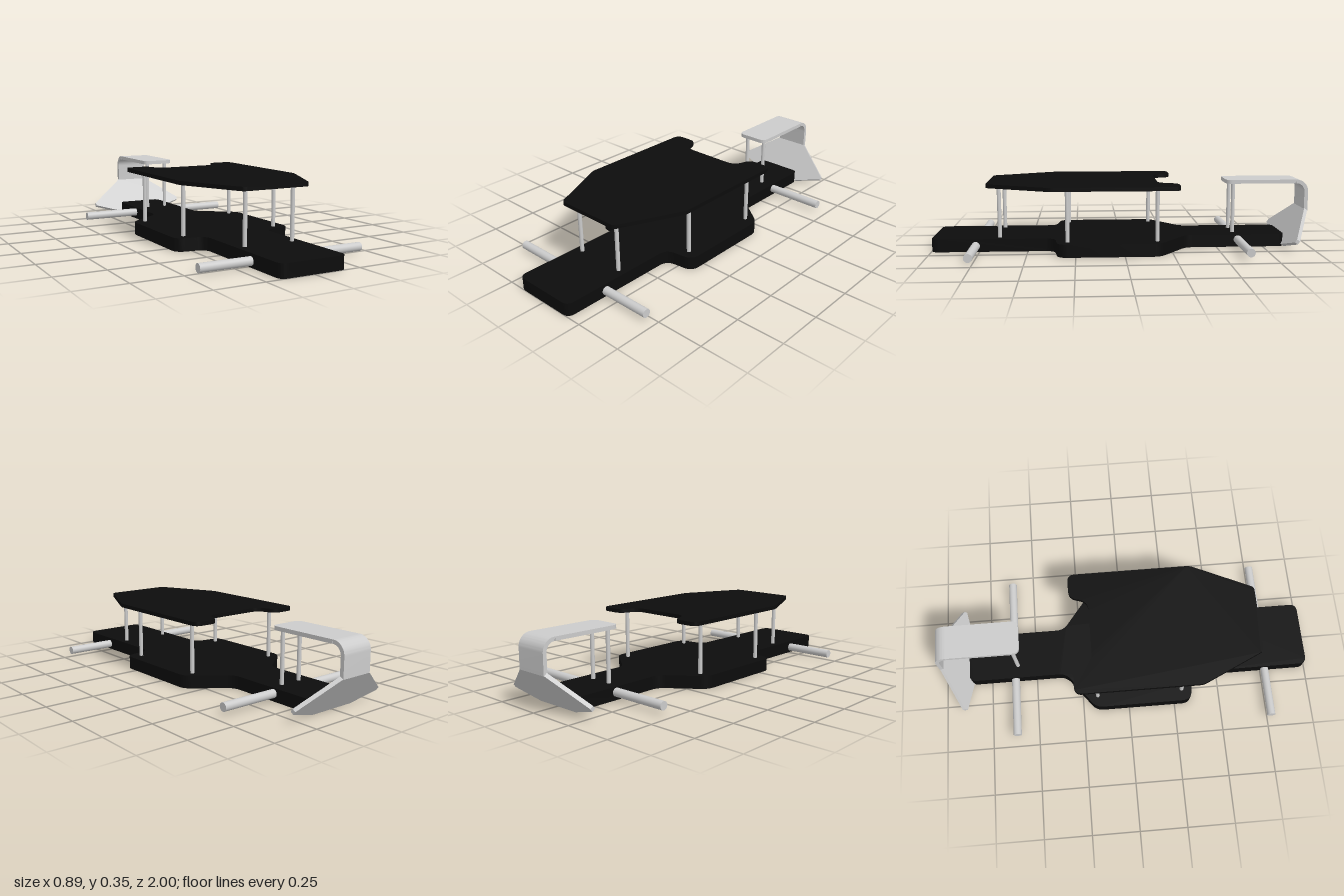
import * as THREE from 'three';
import { toCreasedNormals } from 'three/addons/utils/BufferGeometryUtils.js';

const black = new THREE.MeshStandardMaterial({ color: 0x0c0c0c });
const grey = new THREE.MeshStandardMaterial({ color: 0xcccccc });

// Closed outline from [x, y, cornerRadius] points
function roundedShape(points) {
  const shape = new THREE.Shape();
  const n = points.length;
  points.forEach(([x, y, r = 0], i) => {
    const p = new THREE.Vector2(x, y);
    const toward = ([qx, qy]) => {
      const d = new THREE.Vector2(qx, qy).sub(p);
      return p.clone().addScaledVector(d.normalize(), r);
    };
    const a = toward(points[(i + n - 1) % n]);
    const b = toward(points[(i + 1) % n]);
    if (i === 0) shape.moveTo(a.x, a.y);
    else shape.lineTo(a.x, a.y);
    if (r > 0) shape.quadraticCurveTo(x, y, b.x, b.y);
  });
  shape.closePath();
  return shape;
}

// Completes a half outline (x > 0) with its mirror image
const mirrored = (half) => [...half, ...half.map(([x, y, r]) => [-x, y, r]).reverse()];

function extrude(shape, depth) {
  const g = new THREE.ExtrudeGeometry(shape, { depth, bevelEnabled: false, curveSegments: 8 });
  return toCreasedNormals(g, 0.6);
}

// Horizontal plate from a half outline of [x, z, cornerRadius]
function plate(half, y, thickness) {
  const pts = mirrored(half.map(([x, z, r]) => [x, -z, r]));
  return extrude(roundedShape(pts), thickness).rotateX(-Math.PI / 2).translate(0, y, 0);
}

export function createModel() {
  const model = new THREE.Group();
  const add = (name, geometry, material) => {
    const mesh = new THREE.Mesh(geometry, material);
    mesh.name = name;
    model.add(mesh);
    return mesh;
  };

  // Thick base plate with wide middle
  add('chassisPlate', plate([
    [0.177, 1, 0.04], [0.177, 0.36, 0.05], [0.333, 0.34, 0.05],
    [0.333, -0.18, 0.04], [0.13, -0.335, 0.04], [0.13, -0.865, 0.035],
  ], 0, 0.067), black);

  // Thin upper deck with tapered nose and notched rear
  add('upperDeck', plate([
    [0.18, 0.71, 0.02], [0.333, 0.38, 0.02], [0.333, -0.282, 0.04],
    [0.2, -0.282, 0.04], [0.17, -0.18, 0.05],
  ], 0.335, 0.02), black);

  // Posts and axle stubs on both sides
  const posts = [
    ['frontPost', 0.133, 0.648], ['middlePost', 0.268, 0.292],
    ['rearPost', 0.268, -0.168], ['wingPost', 0.058, -0.598],
  ];
  const axles = [
    ['frontAxle', 0.17, 0.77, 0.031], ['rearAxle', 0.125, -0.615, 0.04],
  ];
  for (const side of [1, -1]) {
    const label = side > 0 ? 'Left' : 'Right';
    for (const [name, x, z] of posts) {
      const post = add(name + label, new THREE.CylinderGeometry(0.0105, 0.0105, 0.28, 20), grey);
      post.position.set(side * x, 0.2, z);
    }
    for (const [name, inner, z, y] of axles) {
      const axle = add(name + label, new THREE.CylinderGeometry(0.022, 0.022, 0.445 - inner, 28), grey);
      axle.rotation.z = Math.PI / 2;
      axle.position.set(side * (0.445 + inner) / 2, y, z);
    }
  }

  // Rear wing: flat top with rounded front corners
  add('wingTop', plate([[0.09, -0.555, 0.035], [0.09, -0.93, 0]], 0.335, 0.02), grey);

  // Rear wing: bend and upright, profile drawn as (-z, y)
  const bend = new THREE.Shape();
  bend.moveTo(0.93, 0.335);
  bend.absarc(0.935, 0.29, 0.045, Math.PI / 2, 0, true);
  bend.lineTo(0.98, 0.187);
  bend.lineTo(1, 0.187);
  bend.lineTo(1, 0.29);
  bend.absarc(0.935, 0.29, 0.065, 0, Math.PI / 2, false);
  bend.lineTo(0.93, 0.355);
  add('wingUpright', extrude(bend, 0.18).rotateY(Math.PI / 2).translate(-0.09, 0, 0), grey);

  // Flared panel sloping from the upright down to the chassis
  const flare = add('wingFlare', extrude(roundedShape(mirrored([
    [0.13, 0, 0], [0.286, 0.053, 0], [0.286, 0.072, 0], [0.09, 0.231, 0],
  ])), 0.02), grey);
  const up = new THREE.Vector3(0, 0.19, -0.135).normalize();
  const right = new THREE.Vector3(1, 0, 0);
  flare.quaternion.setFromRotationMatrix(
    new THREE.Matrix4().makeBasis(right, up, right.clone().cross(up)));
  flare.position.set(0, 0, -0.865);

  return model;
}
